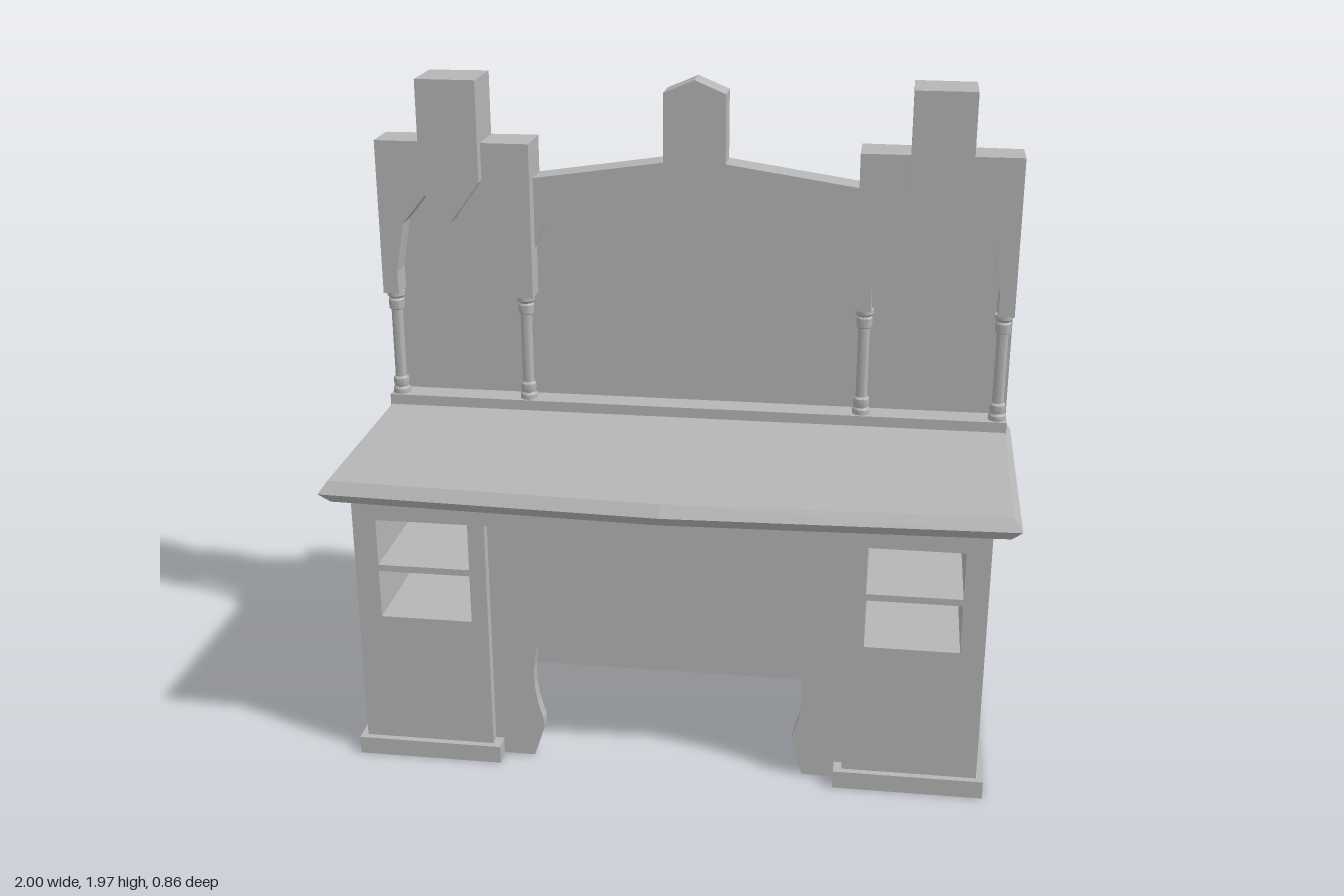
import * as THREE from 'three';
import { toCreasedNormals } from 'three/addons/utils/BufferGeometryUtils.js';
import { ConvexGeometry } from 'three/addons/geometries/ConvexGeometry.js';

const BACK = -0.428;

export function createModel() {
  const model = new THREE.Group();
  model.name = 'desk';
  const grey = new THREE.MeshStandardMaterial({ color: 0xb6b6b6 });
  grey.name = 'plain grey';

  const add = (name, geometry) => {
    const mesh = new THREE.Mesh(geometry, grey);
    mesh.name = name;
    model.add(mesh);
    return mesh;
  };

  // Box given by its limits on each axis
  const box = (name, x0, x1, y0, y1, z0, z1) => {
    const mesh = add(name, new THREE.BoxGeometry(Math.abs(x1 - x0), y1 - y0, z1 - z0));
    mesh.position.set((x0 + x1) / 2, (y0 + y1) / 2, (z0 + z1) / 2);
    return mesh;
  };

  const toVectors = (points, s = 1) => points.map(([x, y]) => new THREE.Vector2(x * s, y));

  // Outline extruded between two depths; the back plane slants forward past x = 0.5
  const slab = (name, shape, z0, z1) => {
    const g = new THREE.ExtrudeGeometry(shape, { depth: z1 - z0, bevelEnabled: false, curveSegments: 12 });
    g.translate(0, 0, z0);
    const p = g.attributes.position;
    if (z0 === BACK) {
      for (let i = 0; i < p.count; i++) {
        const over = Math.abs(p.getX(i)) - 0.5;
        if (p.getZ(i) < BACK + 0.001 && over > 0) p.setZ(i, BACK + over * 0.042);
      }
    }
    g.computeVertexNormals();
    return add(name, g);
  };
  const outline = (points, s) => new THREE.Shape(toVectors(points, s));

  // Worktop with a pointed edge and a gently bowed front
  const plan = [[-1, 0.39], [0, 0.428], [1, 0.39], [1, -0.407], [0.5, BACK], [-0.5, BACK], [-1, -0.407]];
  const topPoints = [];
  for (const [y, inset] of [[0.917, 0.024], [0.883, 0], [0.85, 0.028]]) {
    for (const [x, z] of plan) {
      topPoints.push(new THREE.Vector3(
        Math.abs(x) === 1 ? x * (1 - inset) : x, y, z > 0 ? z - inset : z));
    }
  }
  add('worktop', new ConvexGeometry(topPoints));
  box('ledge', -0.98, 0.98, 0.91, 0.95, -0.40, -0.28);

  // Central back panel and its shaped valance
  const crest = [[0.5, 1.66], [0.095, 1.72], [0.095, 1.93], [0, 1.97], [-0.095, 1.93], [-0.095, 1.72], [-0.5, 1.66]];
  slab('backPanel', outline([[-0.5, 0.91], [0.5, 0.91], ...crest]), BACK, -0.36);
  slab('valance', outline([...crest,
    [-0.5, 1.44], [-0.47, 1.51], [-0.41, 1.533], [0, 1.487], [0.41, 1.533], [0.47, 1.51], [0.5, 1.44]]), -0.36, -0.33);

  // Turned column profile
  const columnProfile = toVectors([[0, 0.95], [0.027, 0.95], [0.027, 0.965], [0.022, 0.972], [0.025, 0.985],
    [0.024, 1.0], [0.018, 1.006], [0.018, 1.23], [0.024, 1.234], [0.025, 1.262], [0.021, 1.268],
    [0.028, 1.276], [0.028, 1.29], [0, 1.29]]);
  const columnGeometry = toCreasedNormals(new THREE.LatheGeometry(columnProfile, 16), 0.6);

  for (const s of [1, -1]) {
    const side = s > 0 ? 'left' : 'right';

    // Tower: back, pointed arch and hanging block
    slab(side + 'TowerBack', outline([[0.5, 0.91], [0.98, 0.91], [0.98, 1.775], [0.5, 1.775]], s), BACK, -0.36);
    slab(side + 'TowerArch', outline([[0.5, 1.29], [0.55, 1.29], [0.548, 1.36], [0.575, 1.515], [0.65, 1.607],
      [0.74, 1.54], [0.83, 1.607], [0.905, 1.515], [0.932, 1.36], [0.93, 1.29], [0.98, 1.29],
      [0.98, 1.775], [0.5, 1.775]], s), -0.36, -0.278);
    slab(side + 'HangingBlock', outline([[0.648, 1.97], [0.648, 1.66], [0.74, 1.535], [0.832, 1.66], [0.832, 1.97]], s), -0.36, -0.24);
    slab(side + 'BlockBack', outline([[0.648, 1.7], [0.832, 1.7], [0.832, 1.97], [0.648, 1.97]], s), BACK, -0.36);
    for (const x of [0.53, 0.95]) {
      add(side + 'Column', columnGeometry).position.set(x * s, 0, -0.313);
    }

    // Hollow pedestal with two open compartments
    const front = outline([[0.53, 0], [0.925, 0], [0.925, 0.85], [0.53, 0.85]], s);
    for (const [y0, y1] of [[0.467, 0.617], [0.637, 0.782]]) {
      front.holes.push(new THREE.Path(toVectors([[0.58, y0], [0.58, y1], [0.855, y1], [0.855, y0]], s)));
      box(side + 'CompartmentFloor', s * 0.57, s * 0.865, y0 - 0.01, y0, -0.25, 0.306);
      box(side + 'CompartmentCeiling', s * 0.57, s * 0.865, y1, y1 + 0.008, -0.25, 0.306);
      box(side + 'CompartmentBack', s * 0.57, s * 0.865, y0, y1, -0.26, -0.25);
      box(side + 'CompartmentInnerWall', s * 0.57, s * 0.58, y0, y1, -0.25, 0.306);
      box(side + 'CompartmentOuterWall', s * 0.855, s * 0.865, y0, y1, -0.25, 0.306);
    }
    slab(side + 'PedestalFront', front, 0.305, 0.325);
    box(side + 'OuterWall', s * 0.905, s * 0.925, 0, 0.85, -0.34, 0.305);
    box(side + 'InnerWall', s * 0.53, s * 0.55, 0, 0.85, -0.34, 0.305);

    // Skirting on the side and front
    box(side + 'SideSkirting', s * 0.925, s * 0.945, 0, 0.055, -0.38, 0.345);
    box(side + 'FrontSkirting', s * 0.505, s * 0.925, 0, 0.055, 0.325, 0.345);
    box(side + 'SkirtingReturn', s * 0.505, s * 0.53, 0, 0.055, 0.29, 0.325);
  }

  // Cabinet back, kneehole lining and front rail
  box('cabinetBack', -0.925, 0.925, 0, 0.85, -0.36, -0.34);
  box('backSkirting', -0.925, 0.925, 0, 0.055, -0.38, -0.36);
  box('kneeholeBack', -0.53, 0.53, 0.03, 0.85, -0.255, -0.235);
  box('frontRail', -0.53, 0.53, 0.782, 0.85, 0.25, 0.325);

  // Recessed kneehole panel with a horseshoe arch and curved feet
  const arch = new THREE.Shape();
  arch.moveTo(-0.53, 0.004);
  arch.lineTo(-0.41, 0.004);
  arch.lineTo(-0.378, 0.105);
  arch.lineTo(-0.378, 0.13);
  for (let i = 0; i <= 28; i++) {
    const a = Math.PI * (1.11 - (1.22 * i) / 28);
    arch.lineTo(0.405 * Math.cos(a), 0.277 + 0.405 * Math.sin(a));
  }
  for (const [x, y] of [[0.378, 0.13], [0.378, 0.105], [0.41, 0.004], [0.53, 0.004], [0.53, 0.782], [-0.53, 0.782]]) {
    arch.lineTo(x, y);
  }
  slab('kneeholePanel', arch, 0.25, 0.29);

  return model;
}
